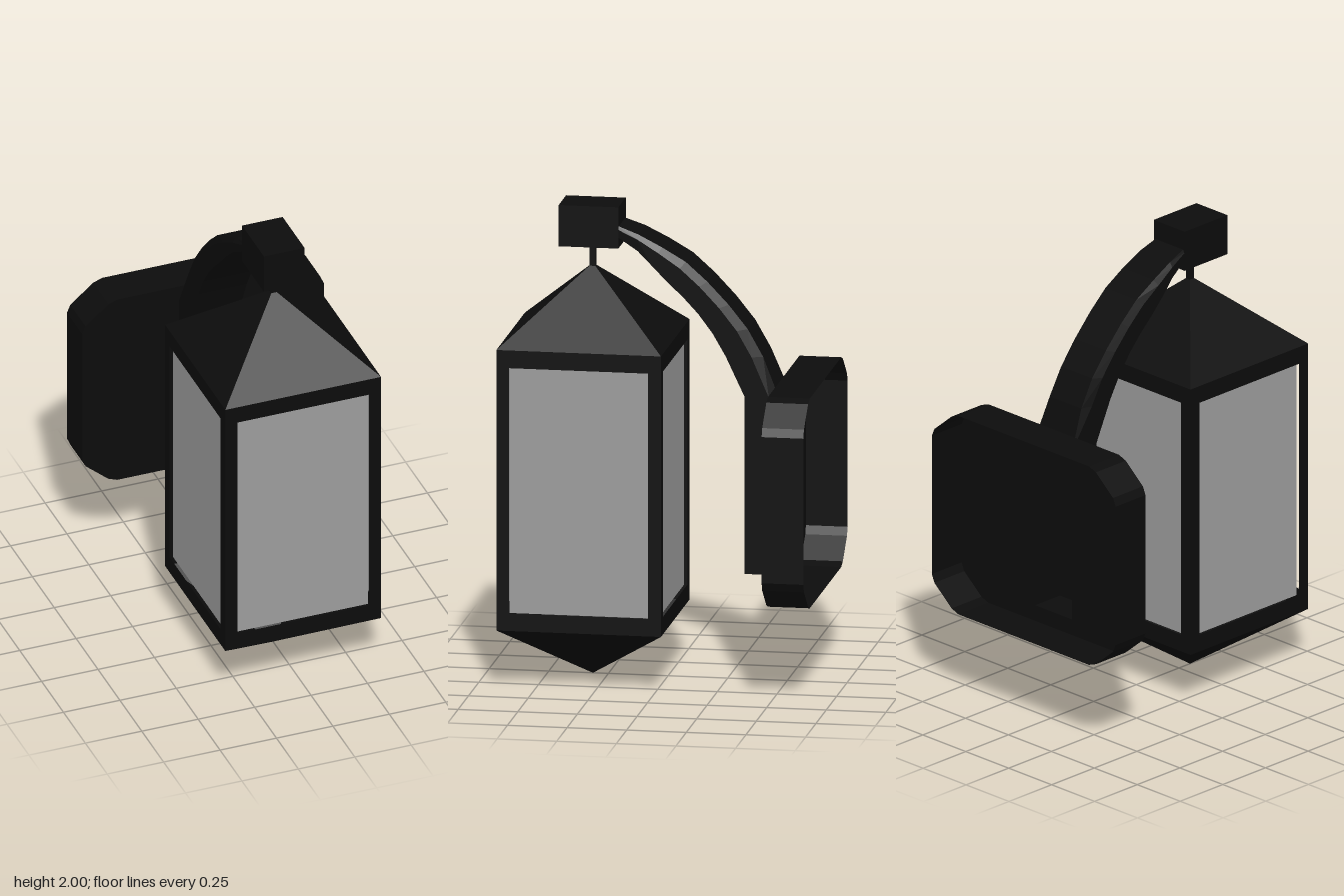
import * as THREE from 'three';

const black = new THREE.MeshStandardMaterial({ color: 0x0c0c0c, flatShading: true, side: THREE.DoubleSide });
const glass = new THREE.MeshStandardMaterial({ color: 0x9d9d9d, side: THREE.DoubleSide });
const V = (x, y, z) => new THREE.Vector3(x, y, z);

function add(parent, name, geometry, material, x = 0, y = 0, z = 0) {
  const mesh = new THREE.Mesh(geometry, material);
  mesh.name = name;
  mesh.position.set(x, y, z);
  parent.add(mesh);
  return mesh;
}

// Corners of an upright rectangle
const rectangle = (halfWidth, bottom, top) =>
  [[-halfWidth, bottom], [halfWidth, bottom], [halfWidth, top], [-halfWidth, top]]
    .map(([x, y]) => new THREE.Vector2(x, y));

// Flat sheet with one opening
function sheet(outline, opening) {
  const shape = new THREE.Shape(outline);
  shape.holes.push(new THREE.Path(opening));
  return new THREE.ShapeGeometry(shape);
}

// Skin over closed rings of points; skip(i, j) leaves a face open, capStart closes the first ring
function skin(rings, { skip = () => false, capStart = false } = {}) {
  const n = rings[0].length;
  const index = [];
  for (let i = 0; i < rings.length - 1; i++) {
    for (let j = 0; j < n; j++) {
      if (skip(i, j)) continue;
      const a = i * n + j, b = i * n + (j + 1) % n;
      index.push(a, b, b + n, a, b + n, a + n);
    }
  }
  if (capStart) for (let k = 1; k < n - 1; k++) index.push(0, k + 1, k);
  const geometry = new THREE.BufferGeometry().setFromPoints(rings.flat());
  geometry.setIndex(index);
  const flat = geometry.toNonIndexed();
  flat.computeVertexNormals();
  return flat;
}

function pyramid(height) {
  return new THREE.ConeGeometry(0.345 * Math.SQRT2, height, 4, 1, true).rotateY(Math.PI / 4);
}

// Lantern housing: four thin window frames with glass just behind, and pointed ends
function createLantern() {
  const lantern = new THREE.Group();
  lantern.name = 'lantern';
  lantern.position.z = 0.315;
  const frame = sheet(rectangle(0.345, 0.245, 1.435), rectangle(0.291, 0.32, 1.36));
  const pane = new THREE.PlaneGeometry(0.586, 1.044);
  for (let i = 0; i < 4; i++) {
    const side = new THREE.Group();
    side.name = 'lanternSide';
    side.rotation.y = i * Math.PI / 2;
    add(side, 'windowFrame', frame, black, 0, 0, 0.345);
    add(side, 'glassPane', pane, glass, 0, 0.84, 0.33);
    lantern.add(side);
  }
  add(lantern, 'roof', pyramid(0.305), black, 0, 1.5875, 0);
  add(lantern, 'bottomPoint', pyramid(0.245).rotateX(Math.PI), black, 0, 0.1225, 0);
  add(lantern, 'hangingRod', new THREE.BoxGeometry(0.024, 0.13, 0.024), black, 0, 1.775, 0);
  add(lantern, 'hangerBlock', new THREE.BoxGeometry(0.18, 0.175, 0.25), black, 0, 1.9125, 0.003);
  return lantern;
}

// Wall plate: shallow shell open to the wall, with a slot behind the arm
function createWallPlate() {
  const plate = new THREE.Group();
  plate.name = 'wallPlate';
  const corner = [[0.535, 0.31], [0.52, 0.345], [0.42, 0.43], [0.38, 0.445]];
  const quarter = (sx, sy) => {
    const pts = corner.map(([x, y]) => new THREE.Vector2(sx * x, 0.845 + sy * y));
    return sx * sy > 0 ? pts : pts.reverse();
  };
  const outline = [quarter(1, 1), quarter(-1, 1), quarter(-1, -1), quarter(1, -1)].flat();
  add(plate, 'plateFront', sheet(outline, rectangle(0.107, 0.47, 1.22)), black, 0, 0, -0.485);
  const ring = z => outline.map(p => V(p.x, p.y, z));
  add(plate, 'plateRim', skin([ring(-0.66), ring(-0.485)]), black);
  return plate;
}

// Hollow arm: upright foot, then a curve forward to the hanger block
function createArm() {
  // Each station: outer z, outer y, inner z, inner y, half width, half width of the outer face
  const stations = [
    [-0.485, 0.47, -0.34, 0.47, 0.107, 0.107],
    [-0.485, 1.22, -0.34, 1.22, 0.107, 0.107],
    [-0.415, 1.39, -0.26, 1.39, 0.107, 0.092],
    [-0.35, 1.505, -0.205, 1.485, 0.107, 0.09],
    [-0.27, 1.605, -0.145, 1.565, 0.107, 0.09],
    [-0.18, 1.7, -0.08, 1.635, 0.107, 0.09],
    [-0.09, 1.78, -0.015, 1.695, 0.107, 0.09],
    [0.01, 1.838, 0.05, 1.762, 0.107, 0.09],
    [0.11, 1.888, 0.11, 1.82, 0.1, 0.087],
    [0.2, 1.92, 0.2, 1.875, 0.087, 0.08],
  ];
  // Section with chamfered outer corners
  const rings = stations.map(([oz, oy, iz, iy, w, o]) =>
    [[w, 1], [w, 0.3], [o, 0], [-o, 0], [-w, 0.3], [-w, 1]]
      .map(([x, t]) => V(x, oy + (iy - oy) * t, oz + (iz - oz) * t)));
  return skin(rings, { skip: (i, j) => i === 0 && j === 2, capStart: true });
}

export function createModel() {
  const model = new THREE.Group();
  model.name = 'wallLantern';
  model.add(createLantern(), createWallPlate());
  add(model, 'arm', createArm(), black);
  return model;
}
